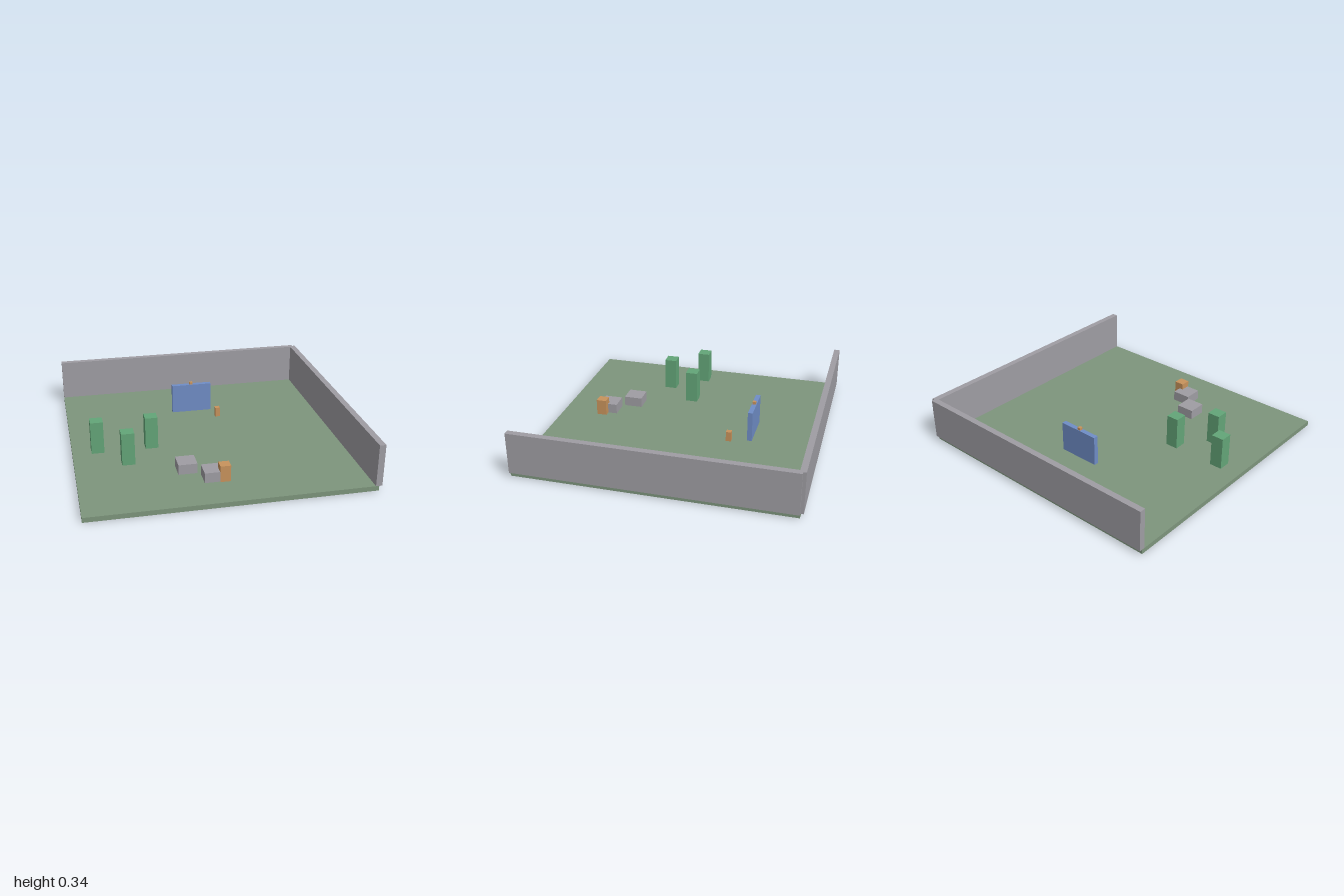
import * as THREE from 'three';

export function createModel() {
  const root = new THREE.Group();
  root.name = 'walledYard';

  const material = (name, color) => {
    const m = new THREE.MeshStandardMaterial({ color });
    m.name = name;
    return m;
  };
  const grass = material('mutedGreen', 0x7d957c);
  const stone = material('stoneGrey', 0x9f9da3);
  const blue = material('panelBlue', 0x6f8dc6);
  const leaf = material('leafGreen', 0x63a578);
  const orange = material('warmOrange', 0xc8935c);

  const FLOOR = 0.035;

  // Box given by its extents along each axis
  function block(name, mat, [x0, x1], [y0, y1], [z0, z1], parent = root) {
    const mesh = new THREE.Mesh(new THREE.BoxGeometry(x1 - x0, y1 - y0, z1 - z0), mat);
    mesh.position.set((x0 + x1) / 2, (y0 + y1) / 2, (z0 + z1) / 2);
    mesh.name = name;
    parent.add(mesh);
    return mesh;
  }

  // Ground slab and the two boundary walls
  block('ground', grass, [-1, 0.978], [0, FLOOR], [-0.978, 1]);
  block('backWall', stone, [-1, 0.978], [FLOOR, 0.338], [-1, -0.957]);
  block('leftWall', stone, [0.955, 1], [FLOOR, 0.338], [-0.978, 1]);

  // Upright panel with a small knob on its top edge
  const gate = new THREE.Group();
  gate.name = 'gate';
  block('panel', blue, [-0.166, 0.142], [FLOOR, 0.26], [-0.505, -0.47], gate);
  block('knob', orange, [-0.027, -0.003], [0.255, 0.279], [-0.499, -0.475], gate);
  root.add(gate);
  block('gatePost', orange, [0.15, 0.187], [FLOOR, 0.108], [-0.36, -0.322]);

  // Tall shrubs
  const shrubs = new THREE.Group();
  shrubs.name = 'shrubs';
  for (const [x, z] of [[-0.817, 0.085], [-0.622, 0.312], [-0.424, 0.085]]) {
    block('shrub', leaf, [x - 0.046, x + 0.046], [FLOOR, 0.276], [z - 0.045, z + 0.045], shrubs);
  }
  root.add(shrubs);

  // Low stone blocks and the crate beside them
  block('stoneBlock', stone, [-0.308, -0.174], [FLOOR, 0.108], [0.436, 0.571]);
  block('stoneBlock', stone, [-0.155, -0.02], [FLOOR, 0.108], [0.587, 0.722]);
  block('crate', orange, [-0.049, 0.024], [FLOOR, 0.153], [0.656, 0.73]);

  return root;
}
